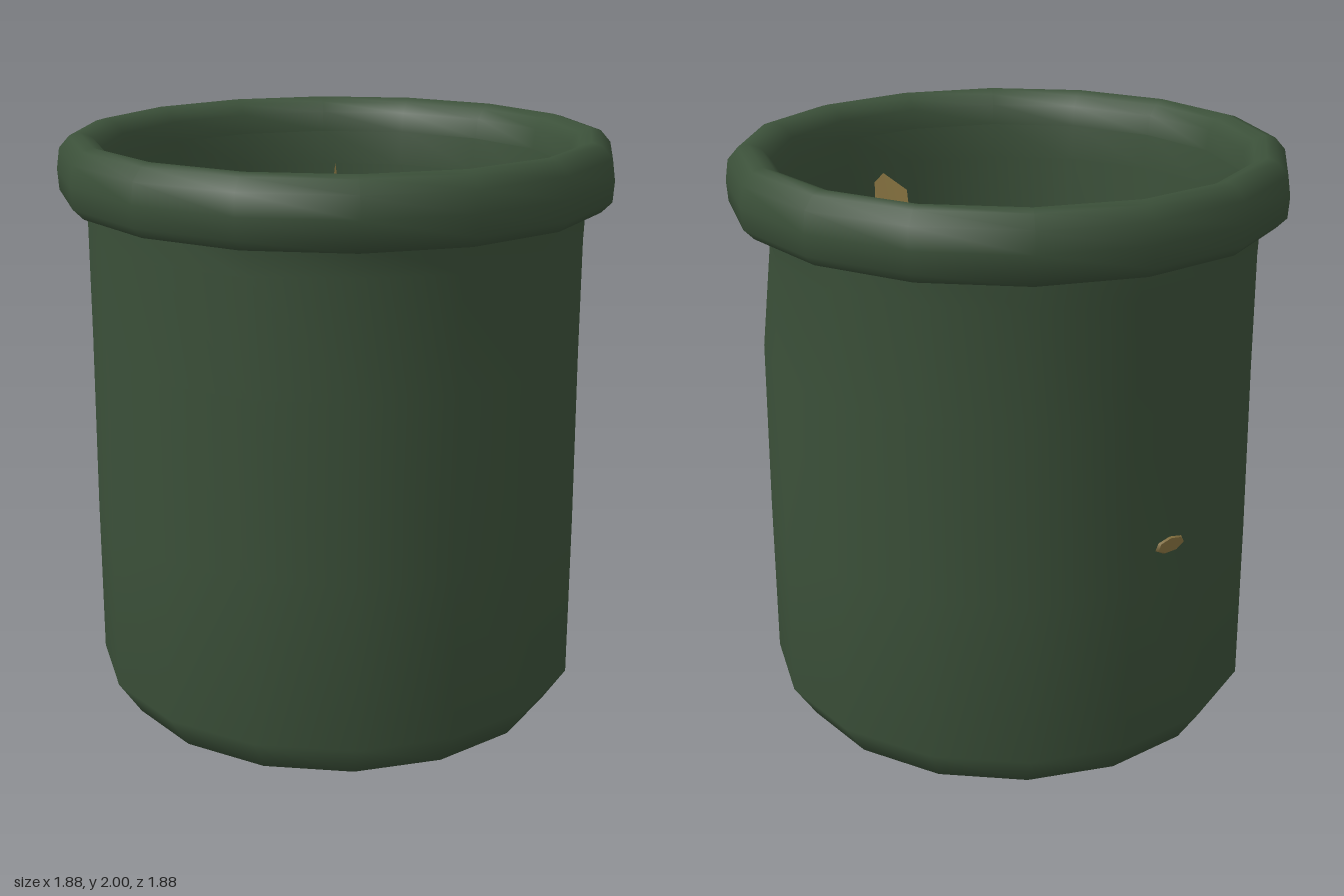
import * as THREE from 'three';
import { mergeVertices, toCreasedNormals } from 'three/addons/utils/BufferGeometryUtils.js';

const SIDES = 16;

// Smooth 16-sided turned shell; shape(v) may nudge single vertices
function turned(profile, shape) {
  const lathe = new THREE.LatheGeometry(profile.map(([r, y]) => new THREE.Vector2(r, y)), SIDES);
  lathe.deleteAttribute('uv');
  lathe.deleteAttribute('normal');
  const geo = mergeVertices(lathe, 1e-4);
  if (shape) {
    const p = geo.attributes.position;
    const v = new THREE.Vector3();
    for (let i = 0; i < p.count; i++) {
      shape(v.fromBufferAttribute(p, i));
      p.setXYZ(i, v.x, v.y, v.z);
    }
  }
  geo.computeVertexNormals();
  return geo;
}

// Flat sheet as a fan of corners
function sheet(corners) {
  const geo = new THREE.BufferGeometry();
  geo.setAttribute('position', new THREE.Float32BufferAttribute(corners.flat(), 3));
  const index = [];
  for (let i = 1; i < corners.length - 1; i++) index.push(0, i, i + 1);
  geo.setIndex(index);
  geo.computeVertexNormals();
  return geo;
}

// Crumpled heap: jagged outline repeated in rings from the floor to the top
function heap() {
  let seed = 7;
  const rnd = () => (seed = (seed * 16807) % 2147483647) / 2147483647;
  const outline = [
    [-0.5, -0.54], [-0.4, -0.47], [-0.03, -0.53], [0.08, -0.52], [0.2, -0.47], [0.58, -0.5],
    [0.57, -0.1], [0.3, -0.04], [0.36, 0.08], [0.25, 0.2], [0.42, 0.36], [0.3, 0.51],
    [0.14, 0.42], [-0.1, 0.63], [-0.37, 0.56], [-0.35, 0.48], [-0.57, 0.52], [-0.55, 0.17],
    [-0.63, 0.06], [-0.42, -0.07], [-0.49, -0.1], [-0.48, -0.35], [-0.58, -0.49],
  ];
  const rings = [[0, 0.13], [0.7, 0.14], [0.9, 0.5], [1, 0.9], [0.68, 1.05], [0.36, 1.08], [0, 1.12]];
  const n = outline.length;
  const pos = [];
  const index = [];
  rings.forEach(([s, y], j) => {
    for (const [x, z] of outline) {
      const k = j === 3 || s === 0 ? s : s * (0.9 + 0.1 * rnd());
      const lift = j > 1 && s > 0 ? (rnd() - 0.5) * 0.13 : 0;
      pos.push(x * k, y + lift, z * k);
    }
    if (j === 0) return;
    for (let i = 0; i < n; i++) {
      const a = (j - 1) * n + i, b = (j - 1) * n + (i + 1) % n;
      index.push(a, a + n, b, b, a + n, b + n);
    }
  });
  const geo = new THREE.BufferGeometry();
  geo.setAttribute('position', new THREE.Float32BufferAttribute(pos, 3));
  geo.setIndex(index);
  return toCreasedNormals(geo, 0.5);
}

export function createModel() {
  const group = new THREE.Group();
  const green = new THREE.MeshStandardMaterial({ color: 0x3b5039 });
  green.name = 'dark green';
  const tan = new THREE.MeshStandardMaterial({ color: 0x84703f, side: THREE.DoubleSide });
  tan.name = 'paper tan';

  const add = (name, geo, mat) => {
    const mesh = new THREE.Mesh(geo, mat);
    mesh.name = name;
    group.add(mesh);
    return mesh;
  };

  // Outer wall with shallow dents just below the rim
  const dents = [[-22.5, 0.035], [67.5, 0.04], [90, 0.02], [180, -0.02]];
  add('outerWall', turned([
    [0, 0.005], [0.5, 0.005], [0.77, 0.01], [0.85, 0.13], [0.85, 0.7], [0.845, 1.3], [0.845, 1.68], [0.85, 1.8],
  ], (v) => {
    if (v.y < 1.6 || v.y > 1.75) return;
    const angle = Math.atan2(v.x, v.z);
    for (const [deg, depth] of dents) {
      if (Math.cos(angle - THREE.MathUtils.degToRad(deg)) < 0.99) continue;
      v.x -= Math.sin(angle) * depth;
      v.z -= Math.cos(angle) * depth;
    }
  }), green);

  // Rounded rim
  add('rim', turned([
    [0.84, 1.775], [0.9, 1.775], [0.935, 1.81], [0.94, 1.88], [0.93, 1.95], [0.895, 1.99],
    [0.86, 2], [0.82, 1.985], [0.79, 1.95], [0.78, 1.88],
  ]), green);

  // Inner wall and floor
  add('innerWall', turned([[0.78, 1.88], [0.765, 1.76], [0.75, 1], [0.74, 0.25], [0.7, 0.12]]), green);
  add('floor', turned([[0.7, 0.12], [0.35, 0.12], [0, 0.12]]), green);

  // Crumpled paper and the loose sheets standing against the wall
  add('crumpledPaper', heap(), tan);
  const sheets = {
    frontSheet: [[0.1, 0.8, 0.42], [0.15, 0.8, 0.7], [0.19, 1.7, 0.74], [0.18, 1.76, 0.66], [0.14, 1.72, 0.54]],
    frontSheetFold: [[0.14, 0.8, 0.42], [0.21, 0.8, 0.69], [0.19, 1.7, 0.74], [0.14, 1.6, 0.54]],
    leftSheet: [[0.38, 0.7, 0.36], [0.58, 0.7, 0.35], [0.62, 1.2, 0.31], [0.42, 1.1, 0.33]],
    leftSheetFold: [[0.58, 0.7, 0.35], [0.61, 0.7, 0.2], [0.64, 1.2, 0.17], [0.62, 1.2, 0.31]],
    rightSheet: [[-0.62, 0.7, 0.38], [-0.53, 0.7, 0.48], [-0.53, 1.2, 0.54], [-0.61, 1.2, 0.41]],
    backSheet: [[0.12, 1, -0.47], [0.3, 1, -0.4], [0.23, 1.8, -0.48]],
  };
  for (const [name, corners] of Object.entries(sheets)) add(name, sheet(corners), tan);

  // Scrap of paper poking through the back of the wall
  const scrap = add('paperScrap', new THREE.CylinderGeometry(0.035, 0.04, 0.008, 7), tan);
  scrap.scale.set(1.6, 1, 0.7);
  scrap.rotation.set(-Math.PI / 2, 0, 0);
  const holder = new THREE.Group();
  holder.name = 'paperScrapHolder';
  holder.position.set(-0.163, 0.83, -0.82);
  holder.rotation.y = THREE.MathUtils.degToRad(11.25);
  holder.add(scrap);
  group.add(holder);

  return group;
}
